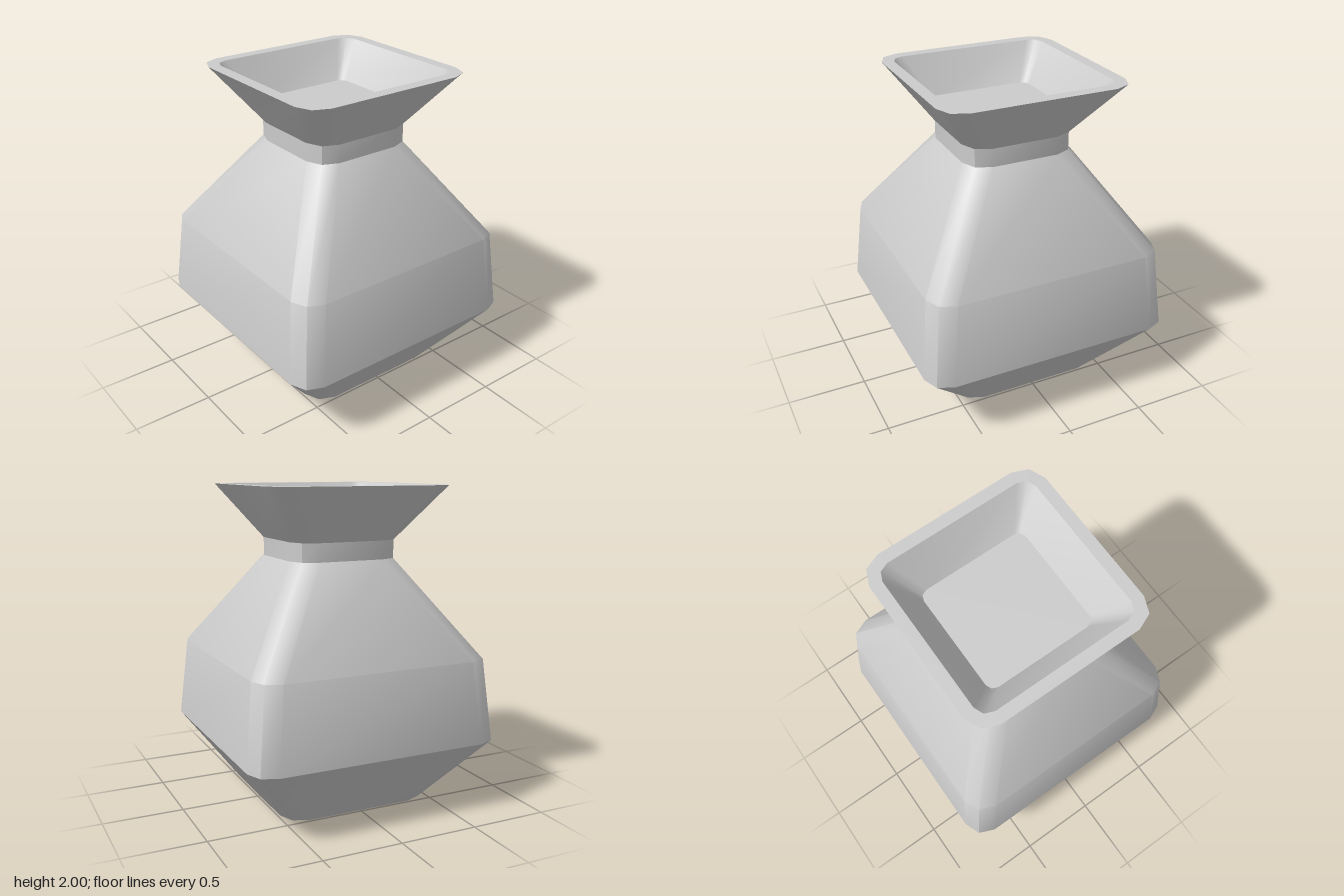
import * as THREE from 'three';
import { toCreasedNormals } from 'three/addons/utils/BufferGeometryUtils.js';

// Square ring with rounded corners (three points each), counter-clockwise from above
function ring(half, y, radius) {
  const points = [];
  for (let corner = 0; corner < 4; corner++) {
    for (let step = 0; step < 3; step++) {
      const a = step * Math.PI / 4;
      const u = half - radius + radius * Math.cos(a);
      const v = half - radius + radius * Math.sin(a);
      const turn = corner * Math.PI / 2;
      const c = Math.cos(turn), s = Math.sin(turn);
      points.push([u * c - v * s, y, -(u * s + v * c)]);
    }
  }
  return points;
}

// Skin a profile of [half width, height, corner radius]; half width 0 closes the end
function loft(name, profile, material) {
  const rings = profile.map(([half, y, radius]) => ring(half, y, radius));
  const positions = [];
  for (let i = 0; i < rings.length - 1; i++) {
    const low = rings[i], high = rings[i + 1], n = low.length;
    for (let j = 0; j < n; j++) {
      const k = (j + 1) % n;
      if (profile[i][0] > 0) positions.push(...low[j], ...low[k], ...high[k]);
      if (profile[i + 1][0] > 0) positions.push(...low[j], ...high[k], ...high[j]);
      else if (profile[i][0] === 0) continue;
    }
  }
  const geometry = new THREE.BufferGeometry();
  geometry.setAttribute('position', new THREE.Float32BufferAttribute(positions, 3));
  const mesh = new THREE.Mesh(toCreasedNormals(geometry, THREE.MathUtils.degToRad(40)), material);
  mesh.name = name;
  return mesh;
}

export function createModel() {
  const group = new THREE.Group();
  group.name = 'squareVase';
  const material = new THREE.MeshStandardMaterial({ color: 0xcccccc });

  // Belly: closed underside, flaring foot, near-upright wall, tapering shoulder
  group.add(loft('body', [
    [0, 0, 0], [0.485, 0, 0.14], [0.81, 0.435, 0.14],
    [0.76, 0.95, 0.14], [0.35, 1.55, 0.14],
  ], material));

  // Straight neck
  group.add(loft('neck', [[0.35, 1.55, 0.14], [0.35, 1.665, 0.14]], material));

  // Flared mouth with flat rim and shallow bowl inside
  group.add(loft('mouth', [
    [0.35, 1.665, 0.14], [0.59, 2, 0.14], [0.515, 2, 0.08],
    [0.357, 1.77, 0.05], [0, 1.77, 0],
  ], material));

  return group;
}
